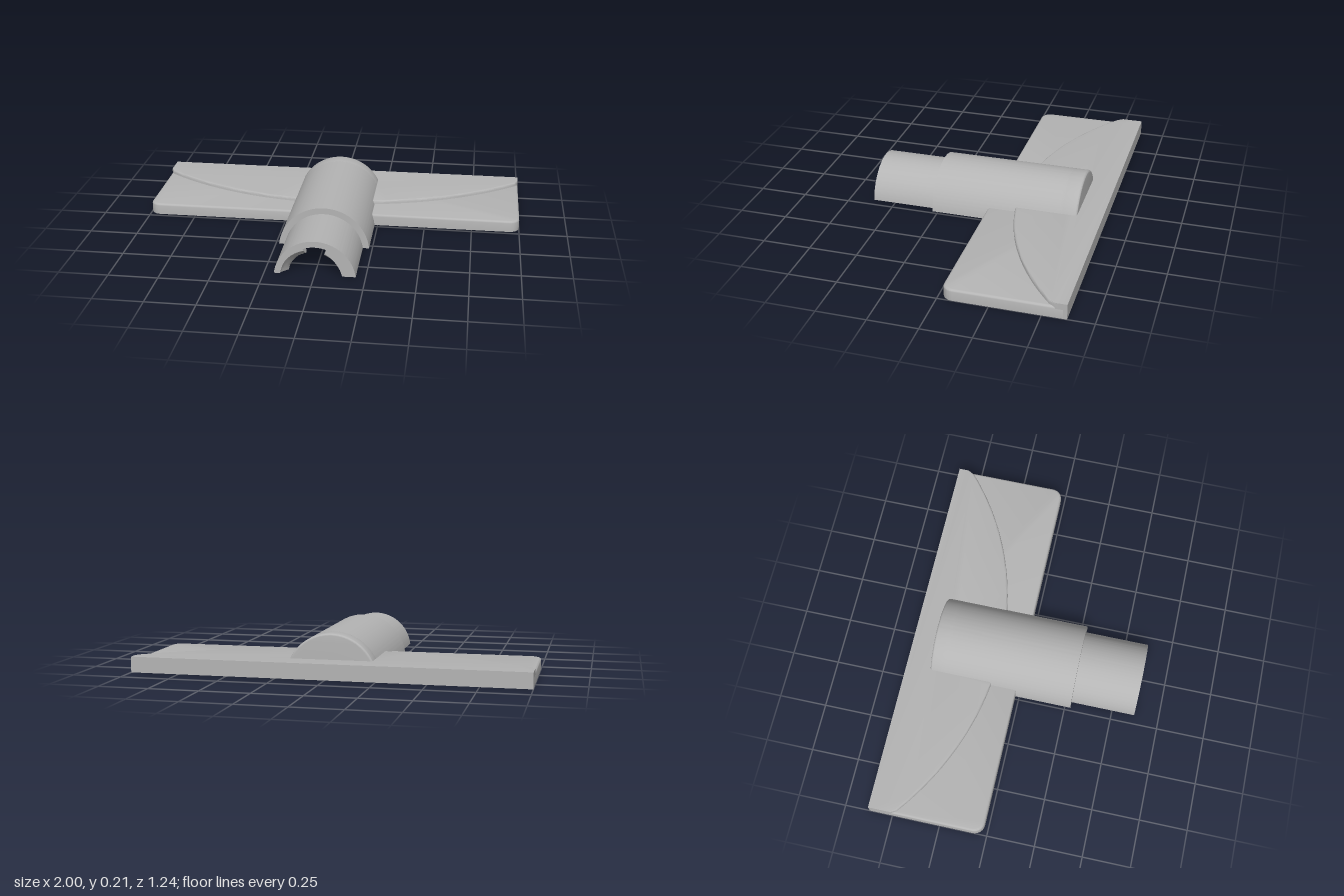
import * as THREE from 'three';
import { toCreasedNormals } from 'three/addons/utils/BufferGeometryUtils.js';

const AXIS_Y = -0.025;                        // tube axis lies just under the cut plane
const COLLAR_R = 0.235, SLEEVE_R = 0.203, BORE_R = 0.172, CREST_R = 0.137;
const BORE_BACK = -0.4, FRONT = 0.62, COLLAR_FRONT = 0.28, COLLAR_BACK = -0.49;

// Angle at which a circle about the tube axis meets y = 0
const startAngle = (r) => Math.asin(-AXIS_Y / r);

// Clamp vertices to a box so chosen bevels become flat, then crease
function clampGeometry(geo, min, max) {
  const p = geo.attributes.position, v = new THREE.Vector3();
  for (let i = 0; i < p.count; i++) {
    v.fromBufferAttribute(p, i).clamp(min, max);
    p.setXYZ(i, v.x, v.y, v.z);
  }
  return toCreasedNormals(geo, 0.6);
}

// Plate outline (x, -z) extruded upward to the given height, rounded on top only
function plateGeometry(shape, height, bevel) {
  const geo = new THREE.ExtrudeGeometry(shape, {
    depth: height - bevel, bevelEnabled: true, bevelSize: bevel, bevelThickness: bevel,
    bevelOffset: -bevel, bevelSegments: 3, curveSegments: 32,
  });
  geo.rotateX(-Math.PI / 2);
  return clampGeometry(geo, new THREE.Vector3(-1, 0, -0.62), new THREE.Vector3(1, height, 1));
}

// Half-tube wall between two radii
function archGeometry(outer, inner, z0, z1) {
  const a = startAngle(outer), b = startAngle(inner);
  const s = new THREE.Shape();
  s.absarc(0, AXIS_Y, outer, a, Math.PI - a, false);
  s.absarc(0, AXIS_Y, inner, Math.PI - b, b, true);
  s.closePath();
  const geo = new THREE.ExtrudeGeometry(s, { depth: z1 - z0, bevelEnabled: false, curveSegments: 48 });
  geo.translate(0, 0, z0);
  return toCreasedNormals(geo, 0.6);
}

// Closed rear end of the collar with a softened edge
function endCapGeometry() {
  const b = 0.01, s = new THREE.Shape();
  s.absarc(0, AXIS_Y, COLLAR_R, -0.1, Math.PI + 0.1, false);
  s.closePath();
  const geo = new THREE.ExtrudeGeometry(s, {
    depth: BORE_BACK - COLLAR_BACK - b, bevelEnabled: true, bevelSize: b, bevelThickness: b,
    bevelOffset: -b, bevelSegments: 3, curveSegments: 48,
  });
  geo.translate(0, 0, COLLAR_BACK + b);
  return clampGeometry(geo, new THREE.Vector3(-1, 0, -1), new THREE.Vector3(1, 1, 1));
}

// Helical thread inside the bore, interrupted by a slot along the top
function threadGeometry() {
  const turns = 9, perTurn = 12, rows = turns * perTurn, side = 18, slot = 0.12;
  const cols = [{ t: 0, flat: true }];
  for (let i = 0; i <= side; i++) cols.push({ t: (0.5 - slot) * i / side, flat: false });
  for (let i = 0; i <= 6; i++) cols.push({ t: 0.5 - slot + 2 * slot * i / 6, flat: true });
  for (let i = 0; i <= side; i++) cols.push({ t: 0.5 + slot + (0.5 - slot) * i / side, flat: false });
  cols.push({ t: 1, flat: true });

  const pos = [], index = [], n = cols.length;
  for (let j = 0; j <= rows + 1; j++) {
    const row = Math.min(j, rows);
    const z = BORE_BACK + (FRONT - BORE_BACK) * row / rows;
    for (const { t, flat } of cols) {
      const u = (((row / perTurn + t * 0.5) % 1) + 1) % 1;
      const h = THREE.MathUtils.clamp(1.5 * Math.abs(2 * u - 1) - 0.25, 0, 1);
      const r = flat || j > rows ? BORE_R : BORE_R + (CREST_R - BORE_R) * h;
      const a0 = startAngle(r), a = a0 + (Math.PI - 2 * a0) * t;
      pos.push(r * Math.cos(a), AXIS_Y + r * Math.sin(a), z);
    }
  }
  for (let j = 0; j <= rows; j++) {
    for (let i = 0; i < n - 1; i++) {
      const a = j * n + i, b = a + n;
      index.push(a, b, a + 1, b, b + 1, a + 1);
    }
  }
  const geo = new THREE.BufferGeometry();
  geo.setAttribute('position', new THREE.Float32BufferAttribute(pos, 3));
  geo.setIndex(index);
  return toCreasedNormals(geo, 0.5);
}

// Rectangular notch that leaves room for the bore, walked from +x to -x
function addNotch(s, front) {
  s.lineTo(-0.195, front);
  s.lineTo(-0.195, 0.42);
  s.lineTo(0.195, 0.42);
  s.lineTo(0.195, front);
}

function basePlateShape() {
  const s = new THREE.Shape(), c = 0.055, f = 0.02;
  s.moveTo(-1, 0.6);
  s.lineTo(-1, f + c);
  s.absarc(-1 + c, f + c, c, Math.PI, Math.PI * 1.5, false);
  addNotch(s, f);
  s.lineTo(1 - c, f);
  s.absarc(1 - c, f + c, c, -Math.PI / 2, 0, false);
  s.lineTo(1, 0.6);
  s.closePath();
  return s;
}

// Raised rear part with a broad, slightly off-centre curved front edge
function raisedPlateShape() {
  const s = new THREE.Shape(), cx = -0.034, cs = 1.681, R = 1.536, edge = 1.02;
  const curve = (x) => cs - Math.sqrt(R * R - (x - cx) ** 2);
  const N = 24;
  s.moveTo(-edge, 0.64);
  for (let i = 0; i <= N; i++) {
    const x = -edge + (edge - 0.195) * i / N;
    s.lineTo(x, curve(x));
  }
  s.lineTo(-0.195, 0.42);
  s.lineTo(0.195, 0.42);
  for (let i = 0; i <= N; i++) {
    const x = 0.195 + (edge - 0.195) * i / N;
    s.lineTo(x, curve(x));
  }
  s.lineTo(edge, 0.64);
  s.closePath();
  return s;
}

export function createModel() {
  const grey = new THREE.MeshStandardMaterial({ color: 0xb4b4b4, side: THREE.DoubleSide });
  grey.name = 'grey';
  const model = new THREE.Group();
  model.name = 'threadedHalfTubeOnPlate';
  const add = (name, geo) => {
    const mesh = new THREE.Mesh(geo, grey);
    mesh.name = name;
    model.add(mesh);
  };

  // Flat plate in two levels
  add('basePlate', plateGeometry(basePlateShape(), 0.06, 0.012));
  add('raisedPlate', plateGeometry(raisedPlateShape(), 0.08, 0.01));

  // Half tube: wide collar, closed back end and narrower front sleeve
  add('collar', archGeometry(COLLAR_R, BORE_R, BORE_BACK - 0.01, COLLAR_FRONT));
  add('collarEnd', endCapGeometry());
  add('sleeve', archGeometry(SLEEVE_R, BORE_R, COLLAR_FRONT, FRONT));
  add('innerThread', threadGeometry());

  return model;
}
